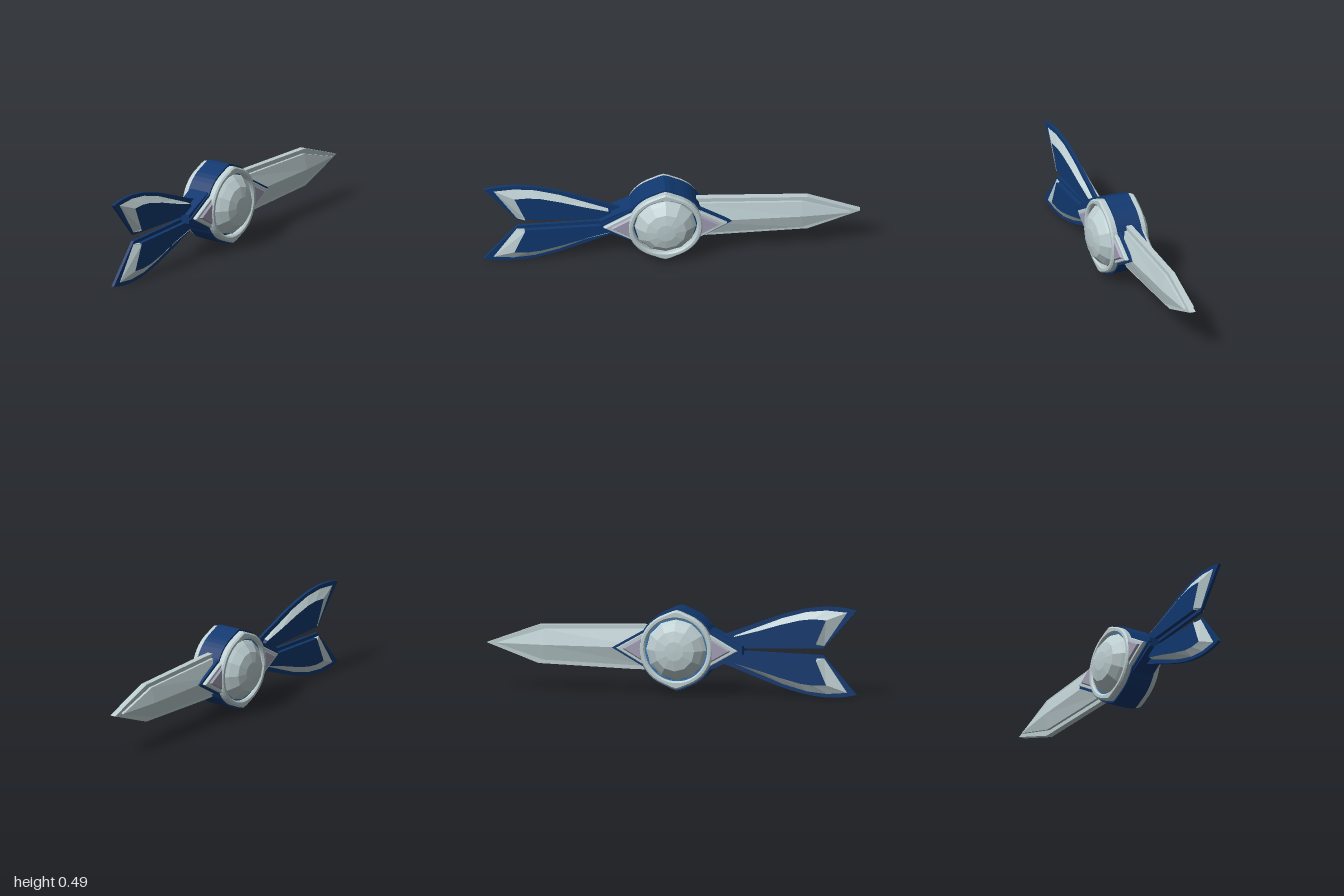
import * as THREE from 'three';

const silver = new THREE.MeshStandardMaterial({ color: 0xbccdd0, side: THREE.DoubleSide });
silver.name = 'pale silver';
const navy = new THREE.MeshStandardMaterial({ color: 0x10386f });
navy.name = 'navy blue';
const lavender = new THREE.MeshStandardMaterial({ color: 0xa19eb5 });
lavender.name = 'grey lavender';
const azure = new THREE.MeshStandardMaterial({ color: 0x2f78b8 });
azure.name = 'azure';

function add(parent, name, geometry, material) {
  const mesh = new THREE.Mesh(geometry, material);
  mesh.name = name;
  parent.add(mesh);
  return mesh;
}

function facet(geometry) {
  const flat = geometry.index ? geometry.toNonIndexed() : geometry;
  flat.computeVertexNormals();
  return flat;
}

const toShape = (pts) => new THREE.Shape(pts.map(([x, y]) => new THREE.Vector2(x, y)));

// Flat slab between two depths, with an optional inward bevel on its front
function slab(shape, z0, z1, bevel = 0) {
  const g = new THREE.ExtrudeGeometry(shape, {
    depth: z1 - z0 - 2 * bevel, bevelEnabled: bevel > 0, bevelSize: bevel,
    bevelThickness: bevel, bevelOffset: -bevel, bevelSegments: 1, curveSegments: 32,
  });
  return g.translate(0, 0, z0 + bevel);
}

// Faceted skin joining equal-length rows of 3D points
function loft(rows, closed) {
  const p = [];
  for (let r = 0; r + 1 < rows.length; r++) {
    const a = rows[r], b = rows[r + 1], n = a.length;
    for (let i = 0; i < (closed ? n : n - 1); i++) {
      const j = (i + 1) % n;
      p.push(...a[i], ...a[j], ...b[j], ...a[i], ...b[j], ...b[i]);
    }
  }
  const g = new THREE.BufferGeometry();
  g.setAttribute('position', new THREE.Float32BufferAttribute(p, 3));
  g.computeVertexNormals();
  return g;
}

// Round outline with a small point at the top and bottom
function peakedCircle(radius, peak) {
  const pts = [];
  const n = 48;
  for (let i = 0; i < n; i++) {
    const t = (i / n) * Math.PI * 2;
    const off = Math.abs(Math.acos(Math.abs(Math.sin(t))));
    const r = radius + peak * Math.max(0, 1 - off / 0.3);
    pts.push([Math.cos(t) * r, Math.sin(t) * r]);
  }
  return toShape(pts);
}

function makeHubFace() {
  const face = new THREE.Group();
  // Raised ring
  const ringShape = peakedCircle(0.198, 0.014);
  ringShape.holes.push(new THREE.Path().absarc(0, 0, 0.168, 0, Math.PI * 2, true));
  add(face, 'hubRing', slab(ringShape, 0.06, 0.103, 0.008), silver);

  // Faceted dome
  const profile = [[0.163, 0.06], [0.163, 0.088], [0.147, 0.106], [0.108, 0.14], [0.052, 0.153], [0, 0.155]]
    .map(([r, h]) => new THREE.Vector2(r, h));
  const dome = new THREE.LatheGeometry(profile, 12).rotateX(Math.PI / 2);
  add(face, 'dome', facet(dome), silver);

  // Pointed plates on both sides of the ring
  for (const s of [1, -1]) {
    const tri = (x0, x1, h) => toShape(s > 0
      ? [[x0, -h], [x1, 0], [x0, h]] : [[-x0, h], [-x1, 0], [-x0, -h]]);
    add(face, 'sidePlateBacking', slab(tri(0.17, 0.353, 0.105), 0.05, 0.066), navy);
    add(face, 'sidePlate', slab(tri(0.18, 0.328, 0.085), 0.06, 0.086, 0.005), silver);
    add(face, 'sideInlay', slab(tri(0.187, 0.293, 0.062), 0.075, 0.097, 0.009), lavender);
  }
  return face;
}

function makeHub() {
  const hub = new THREE.Group();
  hub.name = 'hub';
  add(hub, 'hubCore', slab(peakedCircle(0.207, 0.015), -0.068, 0.068), navy);
  // Joint that carries the tail vanes
  add(hub, 'tailJoint', slab(toShape([[-0.15, 0.12], [-0.35, 0.025], [-0.35, -0.025], [-0.15, -0.12]]), -0.058, 0.058), navy);

  const front = makeHubFace();
  front.name = 'hubFront';
  const back = makeHubFace();
  back.name = 'hubBack';
  back.rotation.y = Math.PI;
  add(back, 'glowRing', new THREE.RingGeometry(0.16, 0.17, 40).translate(0, 0, 0.085), azure);
  hub.add(front, back);
  hub.position.x = -0.04;
  return hub;
}

function makeBlade() {
  const blade = new THREE.Group();
  blade.name = 'blade';
  // Thin cutting edge
  const edge = toShape([[0.1, -0.12], [0.2, -0.12], [0.72, -0.103], [1, 0], [0.72, 0.103], [0.2, 0.12], [0.1, 0.12]]);
  add(blade, 'bladeEdge', slab(edge, -0.016, 0.016), silver);
  // Thicker ridged body
  const rows = [[0.1, 0.1, 0.06], [0.69, 0.082, 0.05], [0.945, 0.002, 0.03]].map(([x, h, r]) => {
    const e = 0.03;
    return [[x, h, e], [x, 0, r], [x, -h, e], [x, -h, -e], [x, 0, -r], [x, h, -e]];
  });
  add(blade, 'bladeBody', loft(rows, true), silver);
  return blade;
}

function makeVane() {
  const vane = new THREE.Group();
  // Navy rim with a curved outer edge
  const rim = new THREE.Shape();
  rim.moveTo(-0.2, 0.015);
  rim.lineTo(-0.2, 0.055);
  rim.bezierCurveTo(-0.45, 0.12, -0.72, 0.3, -1, 0.225);
  rim.lineTo(-0.82, 0.018);
  rim.lineTo(-0.4, 0.006);
  add(vane, 'vaneRim', slab(rim, -0.008, 0.008), navy);

  const outer = [[-0.34, 0.075], [-0.46, 0.122], [-0.6, 0.177], [-0.73, 0.213], [-0.84, 0.224],
    [-0.95, 0.215], [-0.825, 0.033], [-0.785, 0.035]];
  const inner = [[-0.34, 0.07], [-0.47, 0.105], [-0.59, 0.142], [-0.7, 0.17], [-0.77, 0.178],
    [-0.84, 0.174], [-0.785, 0.045], [-0.785, 0.035]];
  // Raised navy panel wrapped by a sloping silver band
  add(vane, 'vanePanel', slab(toShape([...inner, [-0.3, 0.022]]), -0.03, 0.03), navy);
  for (const s of [1, -1]) {
    const rows = [outer.map(([x, y]) => [x, y, s * 0.0095]), inner.map(([x, y]) => [x, y, s * 0.033])];
    add(vane, 'vaneBand', loft(s > 0 ? rows : rows.reverse(), false), silver);
  }
  return vane;
}

export function createModel() {
  const model = new THREE.Group();
  model.name = 'bladedPendant';
  const upper = makeVane();
  upper.name = 'upperVane';
  const lower = makeVane();
  lower.name = 'lowerVane';
  lower.scale.y = -1;
  model.add(makeHub(), makeBlade(), upper, lower);
  for (const part of model.children) part.position.y = 0.245;
  return model;
}
